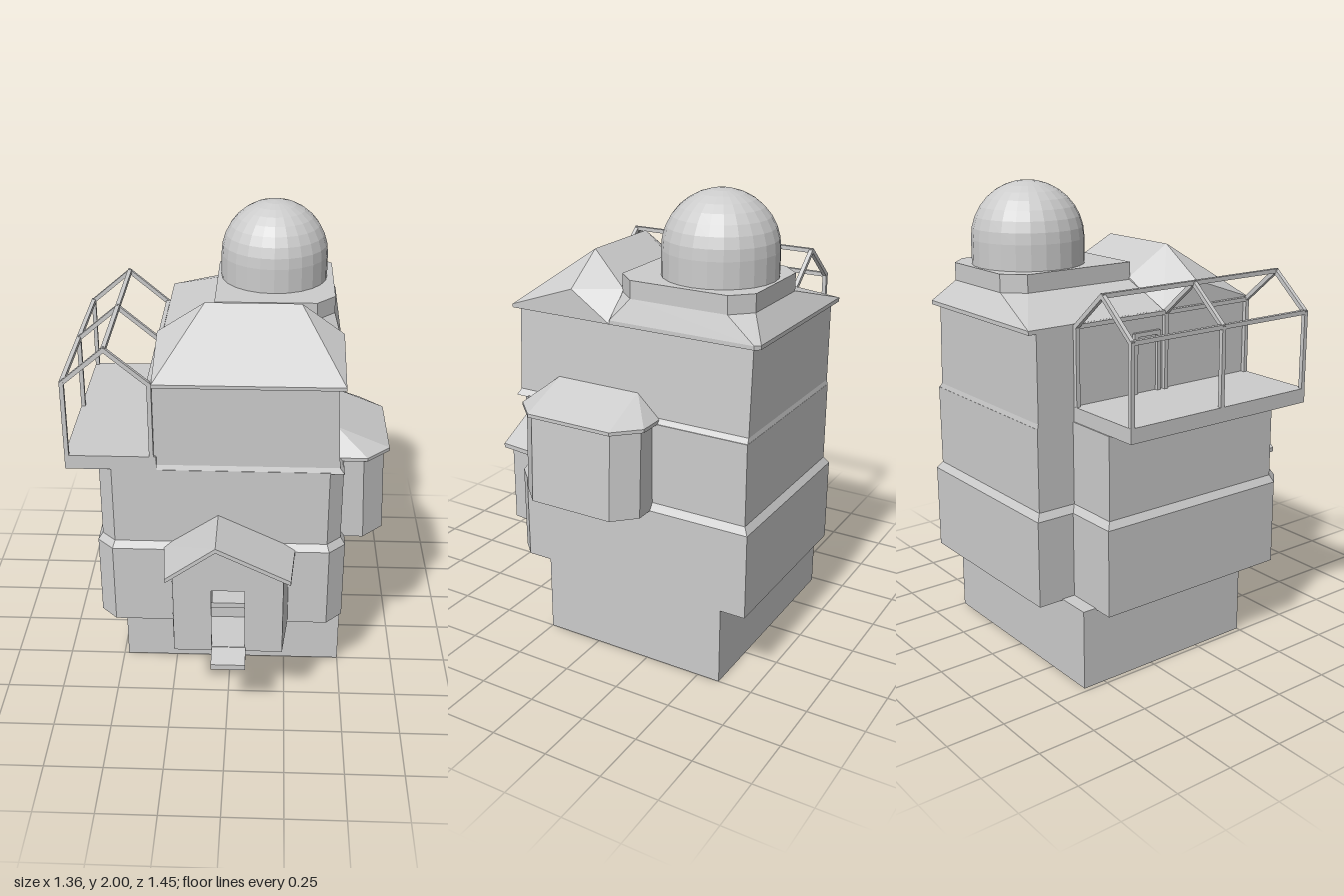
import * as THREE from 'three';
import { ConvexGeometry } from 'three/addons/geometries/ConvexGeometry.js';

const material = new THREE.MeshStandardMaterial({ color: 0xcccccc, flatShading: true });
const V = (x, y, z) => new THREE.Vector3(x, y, z);

export function createModel() {
  const model = new THREE.Group();
  let parent = model;

  const add = (name, geometry) => {
    const mesh = new THREE.Mesh(geometry, material);
    mesh.name = name;
    parent.add(mesh);
    return mesh;
  };
  const section = (name) => {
    parent = new THREE.Group();
    parent.name = name;
    model.add(parent);
  };
  // box given by its extents
  const box = (name, x0, x1, y0, y1, z0, z1) => {
    const mesh = add(name, new THREE.BoxGeometry(x1 - x0, y1 - y0, z1 - z0));
    mesh.position.set((x0 + x1) / 2, (y0 + y1) / 2, (z0 + z1) / 2);
    return mesh;
  };
  // convex solid through [x, y, z] corners
  const hull = (name, points) => add(name, new ConvexGeometry(points.map((p) => V(...p))));
  const ring = (y, outline) => outline.map(([x, z]) => [x, y, z]);
  // square bar between two points
  const bar = (name, a, b, t = 0.018) => {
    const mesh = add(name, new THREE.BoxGeometry(t, t, a.distanceTo(b) + t * 0.6));
    mesh.position.copy(a).add(b).multiplyScalar(0.5);
    mesh.lookAt(b);
    return mesh;
  };
  // stacked outlines (same corner count, listed front edge from -x to +x) with capped ends
  const loft = (name, layers) => {
    const pos = [];
    const at = (l, i) => {
      const [y, outline] = layers[l];
      const [x, z] = outline[i % outline.length];
      return [x, y, z];
    };
    const n = layers[0][1].length;
    for (let l = 0; l + 1 < layers.length; l++) {
      for (let i = 0; i < n; i++) {
        const a = at(l, i), b = at(l, i + 1), c = at(l + 1, i + 1), d = at(l + 1, i);
        pos.push(...a, ...b, ...c, ...a, ...c, ...d);
      }
    }
    for (const [l, up] of [[0, false], [layers.length - 1, true]]) {
      const flat = layers[l][1].map(([x, z]) => new THREE.Vector2(x, z));
      for (const [i, j, k] of THREE.ShapeUtils.triangulateShape(flat, [])) {
        const cross = flat[j].clone().sub(flat[i]).cross(flat[k].clone().sub(flat[i]));
        const order = (cross < 0) === up ? [i, j, k] : [i, k, j];
        order.forEach((q) => pos.push(...at(l, q)));
      }
    }
    const geometry = new THREE.BufferGeometry();
    geometry.setAttribute('position', new THREE.Float32BufferAttribute(pos, 3));
    geometry.computeVertexNormals();
    return add(name, geometry);
  };

  // Foundation and the storeys with sloped ledges
  section('building');
  box('foundation', -0.48, 0.5, 0, 0.345, -0.6, 0.25);
  const lower = [[-0.57, 0.36], [-0.5, 0.43], [0.43, 0.43], [0.5, 0.36],
    [0.5, -0.71], [-0.33, -0.71], [-0.33, -0.54], [-0.57, -0.54]];
  const middle = [[-0.55, 0.35], [-0.49, 0.41], [0.42, 0.41], [0.48, 0.35],
    [0.48, -0.69], [-0.31, -0.69], [-0.31, -0.52], [-0.55, -0.52]];
  loft('lowerStoreys', [[0.34, lower], [0.71, lower], [0.74, middle], [1.09, middle]]);
  const upper = (right, front, back) => [[-0.31, front], [right, front], [right, back], [-0.31, back]];
  loft('upperStorey', [[1.085, upper(0.48, 0.41, -0.69)], [1.11, upper(0.46, 0.4, -0.685)],
    [1.48, upper(0.44, 0.4, -0.685)]]);

  // Main roof: hipped front half and low back half carrying the dome platform
  section('roof');
  hull('frontRoof', [
    ...ring(1.47, [[-0.31, 0.42], [0.47, 0.42], [0.47, -0.06], [-0.31, -0.06]]),
    ...ring(1.485, [[-0.31, 0.42], [0.47, 0.42]]),
    ...ring(1.59, [[-0.31, 0.12], [0.47, 0.12], [0.36, -0.06], [-0.08, -0.06]]),
    ...ring(1.72, [[-0.11, 0.12], [0.29, 0.12]]),
  ]);
  const platform = [[-0.08, -0.055], [0.36, -0.055], [0.44, -0.14], [0.44, -0.57],
    [0.36, -0.65], [0, -0.65], [-0.08, -0.57]];
  const eave = [[-0.31, -0.06], [0.47, -0.06], [0.47, -0.7], [0.45, -0.72], [-0.31, -0.72]];
  hull('backRoof', [...ring(1.47, eave), ...ring(1.487, eave), ...ring(1.58, platform)]);
  loft('domePlatform', [[1.57, platform], [1.655, platform]]);

  // Observatory dome: short drum and hemisphere
  const profile = [new THREE.Vector2(0.238, 1.64)];
  for (let i = 0; i <= 8; i++) {
    const a = (i / 8) * Math.PI / 2;
    profile.push(new THREE.Vector2(0.238 * Math.cos(a), 1.762 + 0.238 * Math.sin(a)));
  }
  profile[profile.length - 1].x = 0;
  add('dome', new THREE.LatheGeometry(profile, 24)).position.set(0.174, 0, -0.4);

  // Bay on the +x side, leaning in slightly
  section('bay');
  const bay = (x, z0, z1, c) => [[0.44, z1], [x - c, z1], [x, z1 - c], [x, z0 + c], [x - c, z0], [0.44, z0]];
  loft('bayWalls', [[0.71, bay(0.67, -0.265, 0.295, 0.09)], [1.095, bay(0.655, -0.265, 0.295, 0.09)]]);
  const bayEave = bay(0.68, -0.287, 0.305, 0.1);
  hull('bayRoof', [...ring(1.09, bayEave), ...ring(1.105, bayEave), ...ring(1.2, [[0.45, 0.2], [0.45, -0.18]])]);

  // Entrance porch, narrowing towards the front
  section('porch');
  const front = new THREE.Shape([[-0.225, 0.34], [0.235, 0.34], [0.235, 0.71], [-0.045, 0.86], [-0.225, 0.735]]
    .map(([x, y]) => new THREE.Vector2(x, y)));
  front.holes.push(new THREE.Path([[-0.065, 0.36], [-0.065, 0.65], [0.075, 0.65], [0.075, 0.36]]
    .map(([x, y]) => new THREE.Vector2(x, y))));
  add('porchFront', new THREE.ExtrudeGeometry(front, { depth: 0.02, bevelEnabled: false })).position.z = 0.62;
  for (const [name, xFront, xBack, t] of [['porchRightWall', -0.225, -0.25, 0.02], ['porchLeftWall', 0.235, 0.26, -0.02]]) {
    const base = [[xFront, 0.64], [xFront + t, 0.64], [xBack, 0.42], [xBack + t, 0.42]];
    hull(name, [...ring(0.34, base), ...ring(0.715, base)]);
  }
  box('porchFloor', -0.225, 0.235, 0.34, 0.36, 0.42, 0.625);
  for (const [name, xFront, xBack] of [['porchRoofRight', -0.255, -0.28], ['porchRoofLeft', 0.265, 0.285]]) {
    const slab = [];
    for (const drop of [0, 0.02]) {
      slab.push([-0.045, 0.875 - drop, 0.667], [-0.045, 0.875 - drop, 0.41],
        [xFront, 0.722 - drop, 0.667], [xBack, 0.715 - drop, 0.41]);
    }
    hull(name, slab);
  }
  box('doorLintel', -0.065, 0.075, 0.535, 0.56, 0.42, 0.6);
  hull('doorStep', [-0.065, 0.08].flatMap((x) => [
    [x, 0.36, 0.63], [x, 0.335, 0.63], [x, 0.335, 0.73], [x, 0.31, 0.73]]));

  // Balcony on the -x side with an open gabled frame
  section('balcony');
  box('balconyFloor', -0.68, -0.3, 1.09, 1.152, -0.515, 0.41);
  const outline = [[-0.671, 1.14], [-0.671, 1.478], [-0.495, 1.626], [-0.32, 1.478], [-0.32, 1.14]];
  for (const z of [-0.505, -0.055, 0.4]) {
    for (let i = 0; i < 4; i++) {
      bar(i % 3 ? 'frameRafter' : 'framePost', V(...outline[i], z), V(...outline[i + 1], z));
    }
  }
  for (const [x, y] of outline.slice(1, 4)) bar('frameBeam', V(x, y, -0.505), V(x, y, 0.4));

  // Balcony door surround
  for (const z of [-0.21, -0.09]) bar('doorPost', V(-0.315, 1.15, z), V(-0.315, 1.4, z));
  bar('doorHeader', V(-0.315, 1.4, -0.21), V(-0.315, 1.4, -0.09));

  return model;
}
